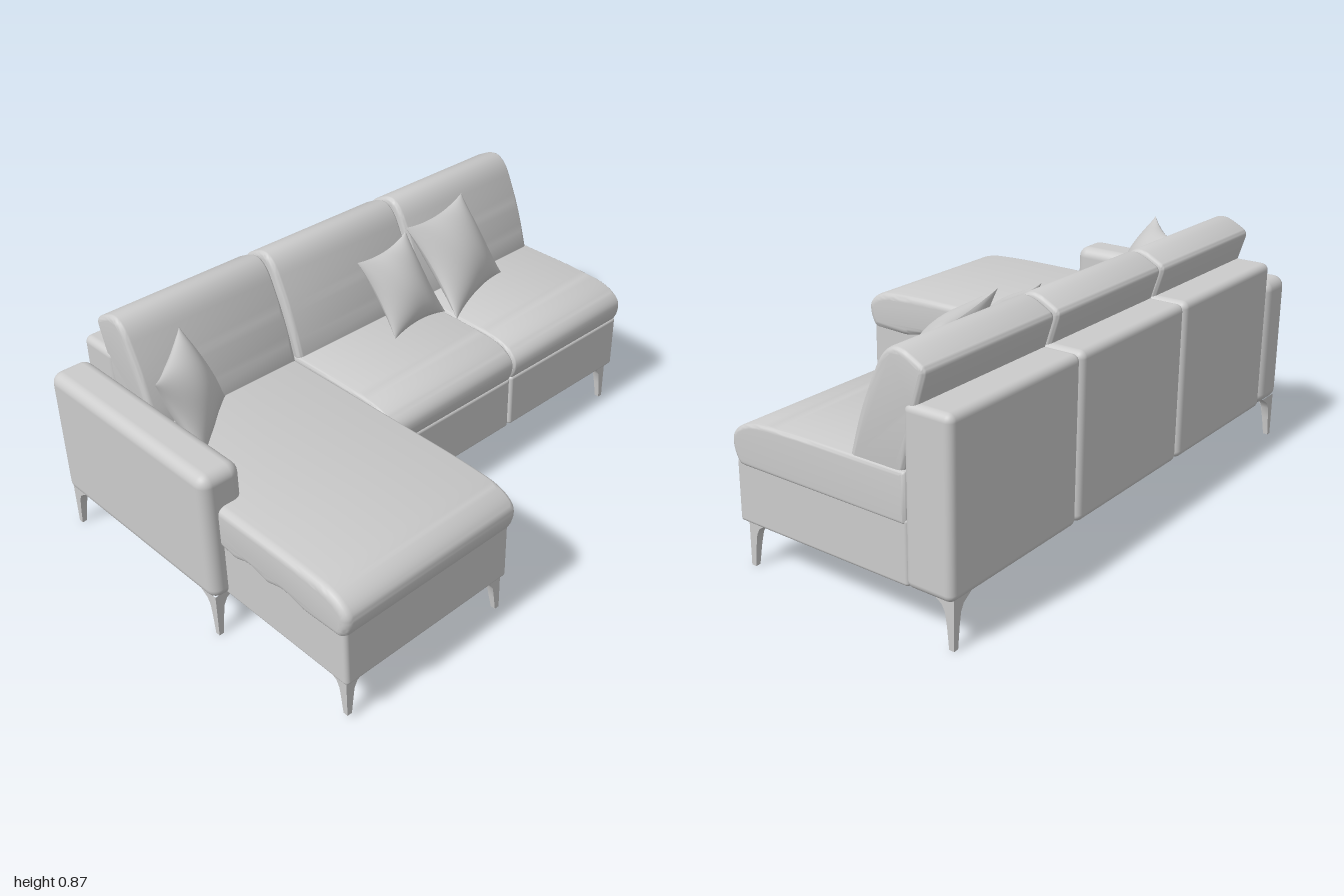
import * as THREE from 'three';
import { RoundedBoxGeometry } from 'three/addons/geometries/RoundedBoxGeometry.js';
import { toCreasedNormals } from 'three/addons/utils/BufferGeometryUtils.js';

const material = new THREE.MeshStandardMaterial({ color: 0xcccccc });

function add(parent, name, geometry) {
  const mesh = new THREE.Mesh(geometry, material);
  mesh.name = name;
  parent.add(mesh);
  return mesh;
}

// Box given by its minimum and maximum corners
function roundedBox(parent, name, min, max, radius) {
  const size = max.map((v, i) => v - min[i]);
  const mesh = add(parent, name, new RoundedBoxGeometry(...size, 4, radius));
  mesh.position.set(...max.map((v, i) => (v + min[i]) / 2));
}

// Closed outline through [x, y, cornerRadius] points
function roundedShape(points) {
  const shape = new THREE.Shape();
  const n = points.length;
  points.forEach(([x, y, r], i) => {
    const p = new THREE.Vector2(x, y);
    const toward = ([qx, qy]) => {
      const d = new THREE.Vector2(qx, qy).sub(p);
      return d.setLength(Math.min(r, d.length() * 0.5)).add(p);
    };
    const a = toward(points[(i + n - 1) % n]);
    const b = toward(points[(i + 1) % n]);
    if (i === 0) shape.moveTo(a.x, a.y);
    else shape.lineTo(a.x, a.y);
    shape.quadraticCurveTo(x, y, b.x, b.y);
  });
  shape.closePath();
  return shape;
}

// Side profile swept along z with softened ends
function upholstered(parent, name, points, z0, z1, bevel) {
  const geometry = new THREE.ExtrudeGeometry(roundedShape(points), {
    depth: z1 - z0 - 2 * bevel, curveSegments: 6, steps: 1,
    bevelEnabled: true, bevelSize: bevel, bevelThickness: bevel,
    bevelOffset: -bevel, bevelSegments: 5,
  });
  geometry.translate(0, 0, z0 + bevel);
  add(parent, name, toCreasedNormals(geometry, 0.7));
}

// Seat cushion profile with a bulging front; its lower edge may be gathered
function seatProfile(front, top, gathers) {
  const points = [
    [-0.54, 0.35, 0.01], [-0.54, top, 0.01], [front - 0.25, top, 0.1],
    [front - 0.07, top - 0.01, 0.06], [front + 0.002, top - 0.055, 0.05],
    [front + 0.002, top - 0.115, 0.04], [front - 0.025, 0.35, 0.02],
  ];
  return points.concat(gathers.map(([x, y]) => [x, y, 0.02]));
}

// Tapered leg with an L-shaped flare, growing from its outer corner
function legGeometry(foot) {
  const sections = [
    [foot, 0.018, 0.018], [0.07, 0.024, 0.025], [0.115, 0.028, 0.032],
    [0.138, 0.03, 0.044], [0.15, 0.032, 0.062], [0.165, 0.034, 0.085],
  ];
  const positions = [];
  const index = [];
  for (const [y, t, w] of sections) {
    for (const [x, z] of [[0, 0], [w, 0], [w, t], [t, t], [t, w], [0, w]]) positions.push(x, y, z);
  }
  for (let s = 0; s < sections.length - 1; s++) {
    for (let i = 0; i < 6; i++) {
      const a = s * 6 + i, b = s * 6 + (i + 1) % 6;
      index.push(a, a + 6, b, b, a + 6, b + 6);
    }
  }
  for (let i = 1; i < 5; i++) index.push(0, i, i + 1);
  const geometry = new THREE.BufferGeometry();
  geometry.setAttribute('position', new THREE.Float32BufferAttribute(positions, 3));
  geometry.setIndex(index);
  return toCreasedNormals(geometry, 0.8);
}

// Mirrors a geometry by sign factors, keeping its faces outward
function mirrored(geometry, sx, sz) {
  const g = geometry.clone().scale(sx, 1, sz);
  if (sx * sz < 0) {
    const p = g.attributes.position;
    for (let i = 0; i < p.count; i += 3) {
      const b = new THREE.Vector3().fromBufferAttribute(p, i + 1);
      const c = new THREE.Vector3().fromBufferAttribute(p, i + 2);
      p.setXYZ(i + 1, c.x, c.y, c.z);
      p.setXYZ(i + 2, b.x, b.y, b.z);
    }
  }
  return toCreasedNormals(g, 0.8);
}

// Pillow stretched between four corners: bottom left, bottom right, top right, top left
function pillow(parent, name, corners, thickness) {
  const [bl, br, tr, tl] = corners.map((c) => new THREE.Vector3(...c));
  const normal = br.clone().sub(tl).cross(tr.clone().sub(bl)).normalize();
  const geometry = new THREE.BoxGeometry(2, 2, 2, 24, 24, 1);
  const p = geometry.attributes.position;
  const point = new THREE.Vector3();
  for (let i = 0; i < p.count; i++) {
    const u = Math.sin(p.getX(i) * Math.PI / 2), v = Math.sin(p.getY(i) * Math.PI / 2);
    const fill = Math.max(0, (1 - u * u) * (1 - v * v));
    // Edges bow inward between the pointed corners
    const s = u * (1 - 0.12 * (1 - v * v)) / 2 + 0.5;
    const t = v * (1 - 0.12 * (1 - u * u)) / 2 + 0.5;
    const creases = 1 + 0.08 * Math.sin(7 * u + 3 * v) * (u * u + v * v) / 2;
    point.set(0, 0, 0)
      .addScaledVector(bl, (1 - s) * (1 - t)).addScaledVector(br, s * (1 - t))
      .addScaledVector(tr, s * t).addScaledVector(tl, (1 - s) * t)
      .addScaledVector(normal, Math.sign(p.getZ(i)) * thickness * Math.pow(fill, 0.6) * creases);
    p.setXYZ(i, point.x, point.y, point.z);
  }
  geometry.computeVertexNormals();
  add(parent, name, geometry);
}

export function createModel() {
  const sofa = new THREE.Group();
  sofa.name = 'cornerSofa';

  // Three back panels, each with a leaning cushion
  const backCushion = [
    [-0.525, 0.49, 0.03], [-0.565, 0.66, 0.08], [-0.615, 0.825, 0.025],
    [-0.515, 0.878, 0.05], [-0.455, 0.845, 0.05], [-0.375, 0.67, 0.1], [-0.325, 0.49, 0.03],
  ];
  const bays = [[-1, -0.383], [-0.38, 0.228], [0.231, 0.85]];
  bays.forEach(([z0, z1], i) => {
    roundedBox(sofa, 'backPanel' + (i + 1), [-0.705, 0.157, z0], [-0.535, 0.72, z1], 0.025);
    upholstered(sofa, 'backCushion' + (i + 1), backCushion, z0 + 0.008, z1 - 0.004, 0.018);
  });

  // Two regular seats
  bays.slice(0, 2).forEach(([z0, z1], i) => {
    roundedBox(sofa, 'seatBase' + (i + 1), [-0.545, 0.157, z0 + 0.004], [0.14, 0.37, z1], 0.012);
    upholstered(sofa, 'seatCushion' + (i + 1), seatProfile(0.15, 0.513, []), z0, z1, 0.015);
  });

  // Long chaise seat with a gathered seam along its cushion
  roundedBox(sofa, 'chaiseBase', [-0.545, 0.157, 0.245], [0.69, 0.385, 0.942], 0.015);
  const gathers = [[0.52, 0.345], [0.42, 0.366], [0.35, 0.345], [0.26, 0.366], [0.2, 0.345], [0.12, 0.358]];
  upholstered(sofa, 'chaiseCushion', seatProfile(0.708, 0.515, gathers), 0.231, 0.952, 0.028);

  // Single arm
  roundedBox(sofa, 'arm', [-0.705, 0.155, 0.848], [0.135, 0.64, 1], 0.04);

  // Legs: outer corner, flare direction and foot height
  const legs = [
    [-0.695, 0.985, 1, -1, 0], [0.12, 0.985, -1, -1, 0],
    [-0.695, -0.978, 1, 1, 0], [0.12, -0.978, -1, 1, 0],
    [0.674, 0.93, -1, -1, 0.018], [0.674, 0.257, -1, 1, 0.018],
  ];
  legs.forEach(([x, z, sx, sz, foot], i) => {
    add(sofa, 'leg' + (i + 1), mirrored(legGeometry(foot), sx, sz)).position.set(x, 0, z);
  });

  // Scatter pillows
  pillow(sofa, 'chaisePillow', [
    [-0.08, 0.52, 0.84], [-0.3, 0.54, 0.58], [-0.41, 0.8, 0.66], [-0.18, 0.8, 0.92]], 0.07);
  pillow(sofa, 'middlePillow', [
    [-0.18, 0.52, -0.1], [-0.19, 0.52, -0.37], [-0.37, 0.8, -0.34], [-0.33, 0.79, -0.06]], 0.065);
  pillow(sofa, 'endPillow', [
    [-0.12, 0.52, -0.36], [-0.235, 0.53, -0.73], [-0.42, 0.82, -0.69], [-0.34, 0.835, -0.31]], 0.075);

  return sofa;
}
